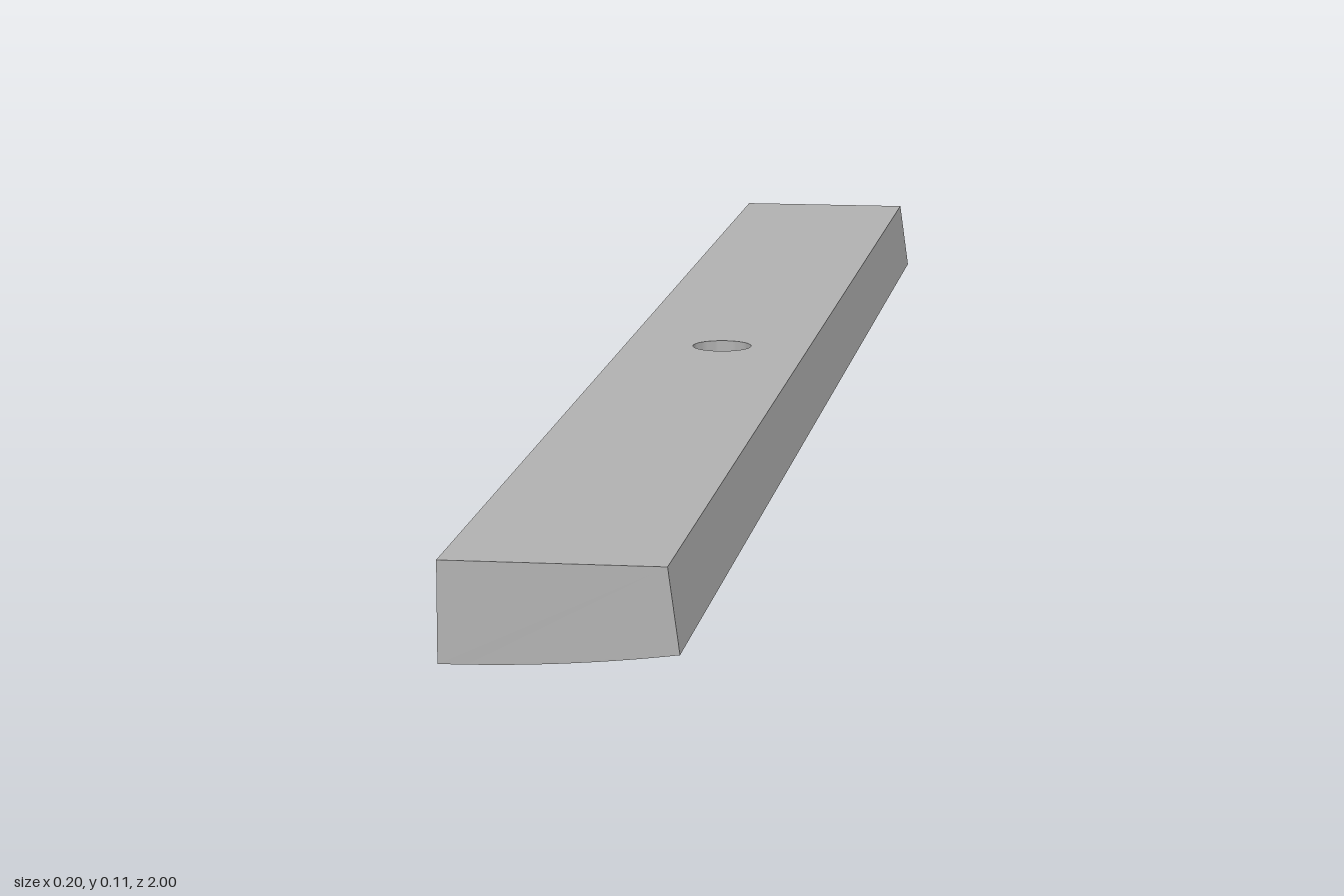
import * as THREE from 'three';
import { mergeVertices, toCreasedNormals } from 'three/addons/utils/BufferGeometryUtils.js';

const TOP = 0.115;      // height of the flat top
const MID = 0.1;        // half length of the drilled middle section
const HOLE = 0.03;      // hole radius
// gently curved underside
const under = (x) => 0.028 + 0.014 * ((x + 0.1) / 0.2) ** 2;

// Bar section: flat top, sloped left side, curved bottom
function endGeometry() {
  const pts = [new THREE.Vector2(0.09, TOP), new THREE.Vector2(-0.1, TOP)];
  for (let i = 0; i <= 16; i++) {
    const x = -0.1 + (0.2 * i) / 16;
    pts.push(new THREE.Vector2(x, under(x)));
  }
  const geo = new THREE.ExtrudeGeometry(new THREE.Shape(pts), { depth: 1 - MID, bevelEnabled: false });
  return toCreasedNormals(geo, 0.4);
}

// Middle section: loops running from the hole to the outline, down, and back to the hole
function middleGeometry() {
  const n = 48;
  const loops = [[0, 1], [1, 1], [1, 0], [0.75, 0], [0.5, 0], [0.25, 0], [0, 0], [0, 1]];
  const pos = [], idx = [];
  for (const [t, up] of loops) {
    for (let i = 0; i < n; i++) {
      const a = (i / n) * Math.PI * 2, c = Math.cos(a), s = Math.sin(a);
      const m = Math.max(Math.abs(c), Math.abs(s));
      const half = up && c > 0 ? 0.09 : 0.1;
      const x = THREE.MathUtils.lerp(HOLE * c, (half * c) / m, t);
      const z = THREE.MathUtils.lerp(HOLE * s, (MID * s) / m, t);
      pos.push(x, up ? TOP : under(x), z);
    }
  }
  for (let r = 0; r < loops.length - 1; r++) {
    for (let i = 0; i < n; i++) {
      const j = (i + 1) % n;
      const a = r * n + i, b = r * n + j, c = a + n, d = b + n;
      idx.push(a, b, c, b, d, c);
    }
  }
  const geo = new THREE.BufferGeometry();
  geo.setAttribute('position', new THREE.Float32BufferAttribute(pos, 3));
  geo.setIndex(idx);
  return toCreasedNormals(mergeVertices(geo), 0.4);
}

// Raised ridge below the bar: plan shape in (x, z), following the curved underside
function ridgeGeometry(shape) {
  const geo = new THREE.ExtrudeGeometry(shape, { depth: 0.03, bevelEnabled: false, curveSegments: 16 });
  geo.rotateX(Math.PI / 2);
  const p = geo.attributes.position;
  for (let i = 0; i < p.count; i++) p.setY(i, p.getY(i) + 0.002 + under(p.getX(i)));
  return toCreasedNormals(geo, 0.6);
}

function rectShape(x0, x1, z, w) {
  return new THREE.Shape([[x0, z - w / 2], [x1, z - w / 2], [x1, z + w / 2], [x0, z + w / 2]]
    .map(([a, b]) => new THREE.Vector2(a, b)));
}

function ringShape(x, z, rx, rz, w) {
  const shape = new THREE.Shape().absellipse(x, z, rx, rz, 0, Math.PI * 2);
  shape.holes.push(new THREE.Path().absellipse(x, z, rx - w, rz - w, 0, Math.PI * 2));
  return shape;
}

// Band of constant width along a smooth path
function bandShape(points, w) {
  const curve = new THREE.SplineCurve(points.map(([x, z]) => new THREE.Vector2(x, z)));
  const a = [], b = [];
  for (let i = 0; i <= 24; i++) {
    const p = curve.getPoint(i / 24), t = curve.getTangent(i / 24);
    a.push(new THREE.Vector2(p.x - (t.y * w) / 2, p.y + (t.x * w) / 2));
    b.unshift(new THREE.Vector2(p.x + (t.y * w) / 2, p.y - (t.x * w) / 2));
  }
  return new THREE.Shape([...a, ...b]);
}

export function createModel() {
  const grey = new THREE.MeshStandardMaterial({ color: 0xb0b0b0 });
  grey.name = 'grey';
  const model = new THREE.Group();
  model.name = 'drilledBar';
  const add = (name, geo, z = 0) => {
    const mesh = new THREE.Mesh(geo, grey);
    mesh.name = name;
    mesh.position.z = z;
    model.add(mesh);
  };

  // Bar
  add('frontBar', endGeometry(), MID);
  add('backBar', endGeometry(), -1);
  add('drilledMiddle', middleGeometry());

  // Cross ribs
  for (const z of [0.573, -0.43]) add('crossRib', ridgeGeometry(rectShape(-0.04, 0.04, z, 0.016)));

  // Rings with a rib beside them
  for (const z of [0.388, -0.612]) {
    add('ring', ridgeGeometry(ringShape(-0.063, z, 0.03, 0.038, 0.011)));
    add('ringRib', ridgeGeometry(rectShape(-0.093, -0.012, z - 0.05, 0.012)));
  }
  add('shortRib', ridgeGeometry(rectShape(-0.04, -0.015, -0.59, 0.01)));

  // Wavy ridge
  add('wavyRidge', ridgeGeometry(bandShape(
    [[-0.048, -0.096], [-0.078, -0.105], [-0.086, -0.125], [-0.066, -0.14],
      [-0.044, -0.155], [-0.052, -0.176], [-0.08, -0.18]], 0.012)));

  // Small studs
  for (const [x, z] of [[-0.005, 0.185], [0.03, -0.81], [-0.005, -0.81]]) {
    add('stud', ridgeGeometry(rectShape(x - 0.009, x + 0.009, z, 0.011)));
  }
  return model;
}
